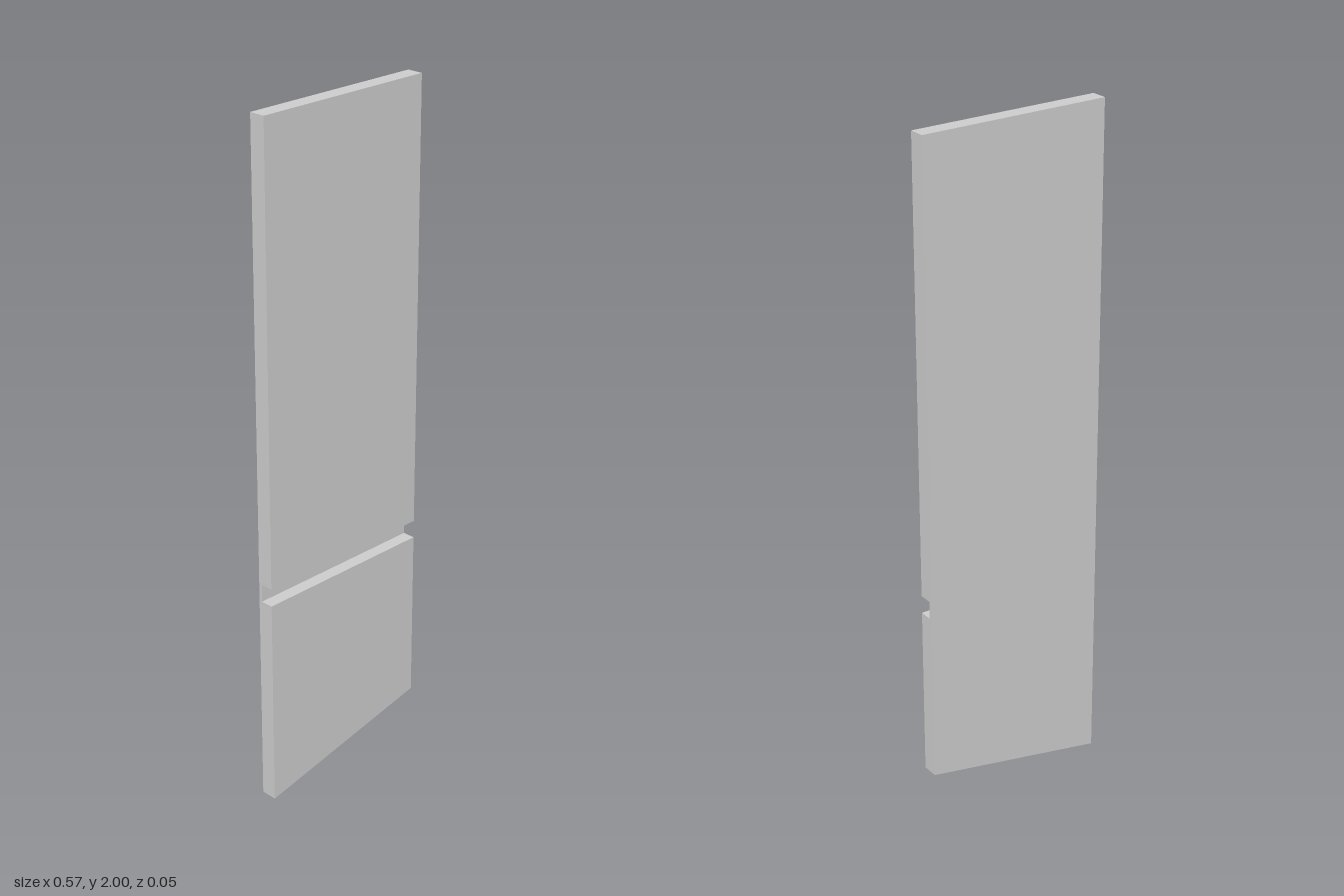
import * as THREE from 'three';

const WIDTH = 0.568, HEIGHT = 2, HALF_THICK = 0.024;
const GROOVE_BOTTOM = 0.63, GROOVE_TOP = 0.683, GROOVE_FLOOR = -0.014;
const BOTTOM_RISE = 0.117; // slanted lower edge, higher on the +x side
const YAW = 0.0055; // slight turn of the board

export function createModel() {
  const group = new THREE.Group();
  group.name = 'groovedBoard';

  // Side profile as [z, y], with the groove cut into the front
  const profile = [
    [-HALF_THICK, 0], [-HALF_THICK, HEIGHT], [HALF_THICK, HEIGHT],
    [HALF_THICK, GROOVE_TOP], [GROOVE_FLOOR, GROOVE_TOP],
    [GROOVE_FLOOR, GROOVE_BOTTOM], [HALF_THICK, GROOVE_BOTTOM], [HALF_THICK, 0],
  ];
  const shape = new THREE.Shape(profile.map(([z, y]) => new THREE.Vector2(-z, y)));
  const geometry = new THREE.ExtrudeGeometry(shape, { depth: WIDTH, bevelEnabled: false });
  geometry.rotateY(Math.PI / 2);
  geometry.translate(-WIDTH / 2, 0, 0);

  // Slant the bottom edge and turn the board slightly
  const p = geometry.attributes.position;
  for (let i = 0; i < p.count; i++) {
    const x = p.getX(i);
    if (p.getY(i) < 0.001) p.setY(i, BOTTOM_RISE * (x / WIDTH + 0.5));
    p.setZ(i, p.getZ(i) - YAW * x);
  }
  geometry.computeVertexNormals();

  const board = new THREE.Mesh(
    geometry,
    new THREE.MeshStandardMaterial({ color: 0xcccccc, flatShading: true })
  );
  board.name = 'board';
  group.add(board);
  return group;
}
